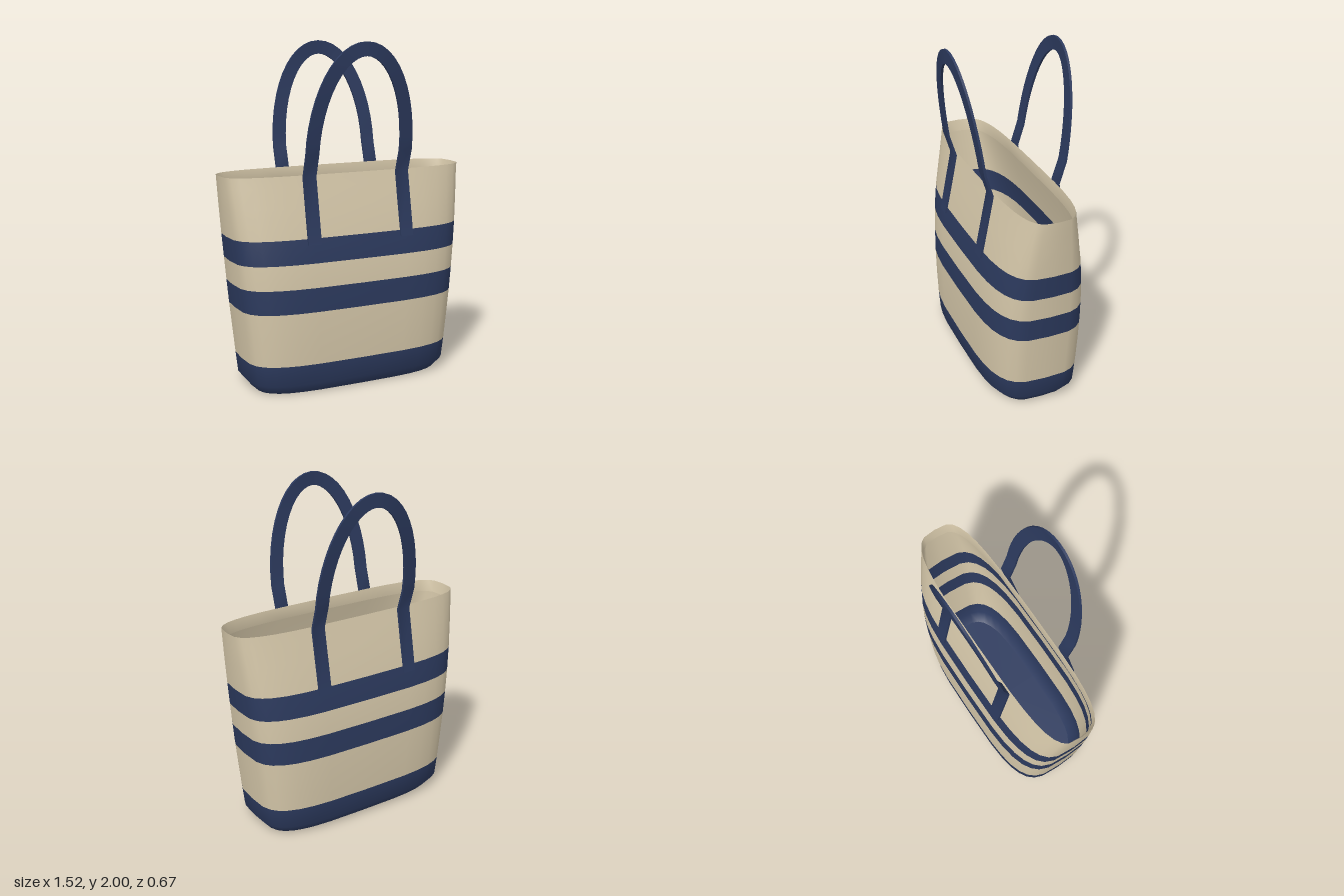
import * as THREE from 'three';
import { toCreasedNormals } from 'three/addons/utils/BufferGeometryUtils.js';

const SEG = 32;
const navy = new THREE.MeshStandardMaterial({ color: 0x2c3a5e });
const canvas = new THREE.MeshStandardMaterial({ color: 0xd6c8aa });

// Side profile: height, half width (x), half depth (z)
const PROFILE = [
  [0, 0.585, 0.24], [0.06, 0.635, 0.288], [0.18, 0.648, 0.296], [0.34, 0.665, 0.3],
  [0.49, 0.681, 0.3], [0.63, 0.695, 0.295], [0.77, 0.709, 0.284], [0.91, 0.724, 0.264],
  [1.08, 0.742, 0.228], [1.19, 0.753, 0.202], [1.26, 0.76, 0.186],
];
// Colour bands as row ranges of the profile
const BANDS = [
  ['base', 0, 2, navy], ['lowerPanel', 2, 4, canvas], ['lowerStripe', 4, 5, navy],
  ['middlePanel', 5, 6, canvas], ['upperStripe', 6, 7, navy], ['upperPanel', 7, 10, canvas],
];
const WALL = 0.008;

// Squarish oval cross-section
function ring([y, a, b]) {
  const soft = (v) => Math.sign(v) * Math.pow(Math.abs(v) < 1e-9 ? 0 : Math.abs(v), 2 / 3.7);
  return Array.from({ length: SEG }, (_, i) => {
    const t = (i / SEG) * Math.PI * 2;
    return [a * soft(Math.cos(t)), y, b * soft(Math.sin(t))];
  }).flat();
}

function indexed(positions, index) {
  const g = new THREE.BufferGeometry();
  g.setAttribute('position', new THREE.Float32BufferAttribute(positions, 3));
  g.setIndex(index);
  g.computeVertexNormals();
  return g;
}

function bandIndex(from, to, inward) {
  const out = [];
  for (let r = from; r < to; r++) {
    for (let i = 0; i < SEG; i++) {
      const j = (i + 1) % SEG;
      const a = r * SEG + i, b = r * SEG + j, c = a + SEG, d = b + SEG;
      out.push(...(inward ? [a, b, c, b, d, c] : [a, c, b, b, c, d]));
    }
  }
  return out;
}

function addMesh(group, name, geometry, material) {
  const m = new THREE.Mesh(geometry, material);
  m.name = name;
  group.add(m);
}

// Lofted wall, shaded as one surface and split into colour bands
function addWall(group, prefix, rows, bands, inward) {
  const whole = indexed(rows.flatMap(ring), bandIndex(0, rows.length - 1, inward));
  for (const [name, from, to, material] of bands) {
    const g = whole.clone();
    g.setIndex(bandIndex(from, to, inward));
    addMesh(group, prefix + name, g, material);
  }
}

// Flat oval panel
function disc(row, up) {
  const index = [];
  for (let i = 0; i < SEG; i++) {
    const j = (i + 1) % SEG;
    index.push(SEG, ...(up ? [j, i] : [i, j]));
  }
  return indexed([...ring(row), 0, row[0], 0], index);
}

// Flat strap: straight tabs, a bend at the rim and an oval arch above
function strapGeometry() {
  const half = 0.04, thick = 0.007, X = 0.295, spring = 1.38, rise = 0.58;
  const path = [[X, 0.875, 0.273, 1, 0], [X, 1.25, 0.2, 1, 0]];
  const N = 24;
  for (let i = 0; i <= N; i++) {
    const t = (i / N) * Math.PI;
    const c = Math.cos(t), s = Math.sin(t);
    const n = new THREE.Vector2(c * rise, s * X).normalize();
    path.push([X * c, spring + rise * s, 0.241 + 0.085 * s, n.x, n.y]);
  }
  path.push([-X, 1.25, 0.2, -1, 0], [-X, 0.875, 0.273, -1, 0]);

  const pos = [], index = [];
  path.forEach(([x, y, z, nx, ny], k) => {
    for (const [w, d] of [[1, 1], [-1, 1], [-1, -1], [1, -1]]) {
      pos.push(x + nx * half * w, y + ny * half * w, z + thick * d);
    }
    if (k === 0) return;
    for (let e = 0; e < 4; e++) {
      const f = (e + 1) % 4, p = (k - 1) * 4, q = k * 4;
      index.push(p + e, q + e, p + f, p + f, q + e, q + f);
    }
  });
  // End caps
  const l = (path.length - 1) * 4;
  index.push(0, 1, 2, 0, 2, 3, l, l + 2, l + 1, l, l + 3, l + 2);
  return toCreasedNormals(indexed(pos, index), 0.5);
}

export function createModel() {
  const bag = new THREE.Group();
  bag.name = 'toteBag';

  // Outer shell and underside
  addWall(bag, 'outer_', PROFILE, BANDS, false);
  addMesh(bag, 'underside', disc(PROFILE[0], false), navy);

  // Lining, ending just below the rim, with its floor
  const inner = PROFILE.slice(0, -1).map(([y, a, b]) => [Math.max(y, 0.01), a - WALL, b - WALL]);
  const innerBands = BANDS.map(([n, f, t, m]) => [n, f, Math.min(t, inner.length - 1), m]);
  addWall(bag, 'lining_', inner, innerBands, true);
  addMesh(bag, 'floor', disc(inner[0], true), navy);

  // Folded hem joining the rim to the lining
  const hemLow = [1.19, 0.744, 0.178];
  addWall(bag, '', [inner[inner.length - 1], hemLow, PROFILE[PROFILE.length - 1]],
    [['hem', 0, 2, canvas]], true);

  // Handles, front and back
  const strap = strapGeometry();
  for (const [name, angle] of [['frontHandle', 0], ['backHandle', Math.PI]]) {
    const handle = new THREE.Mesh(strap, navy);
    handle.name = name;
    handle.rotation.y = angle;
    bag.add(handle);
  }
  return bag;
}
